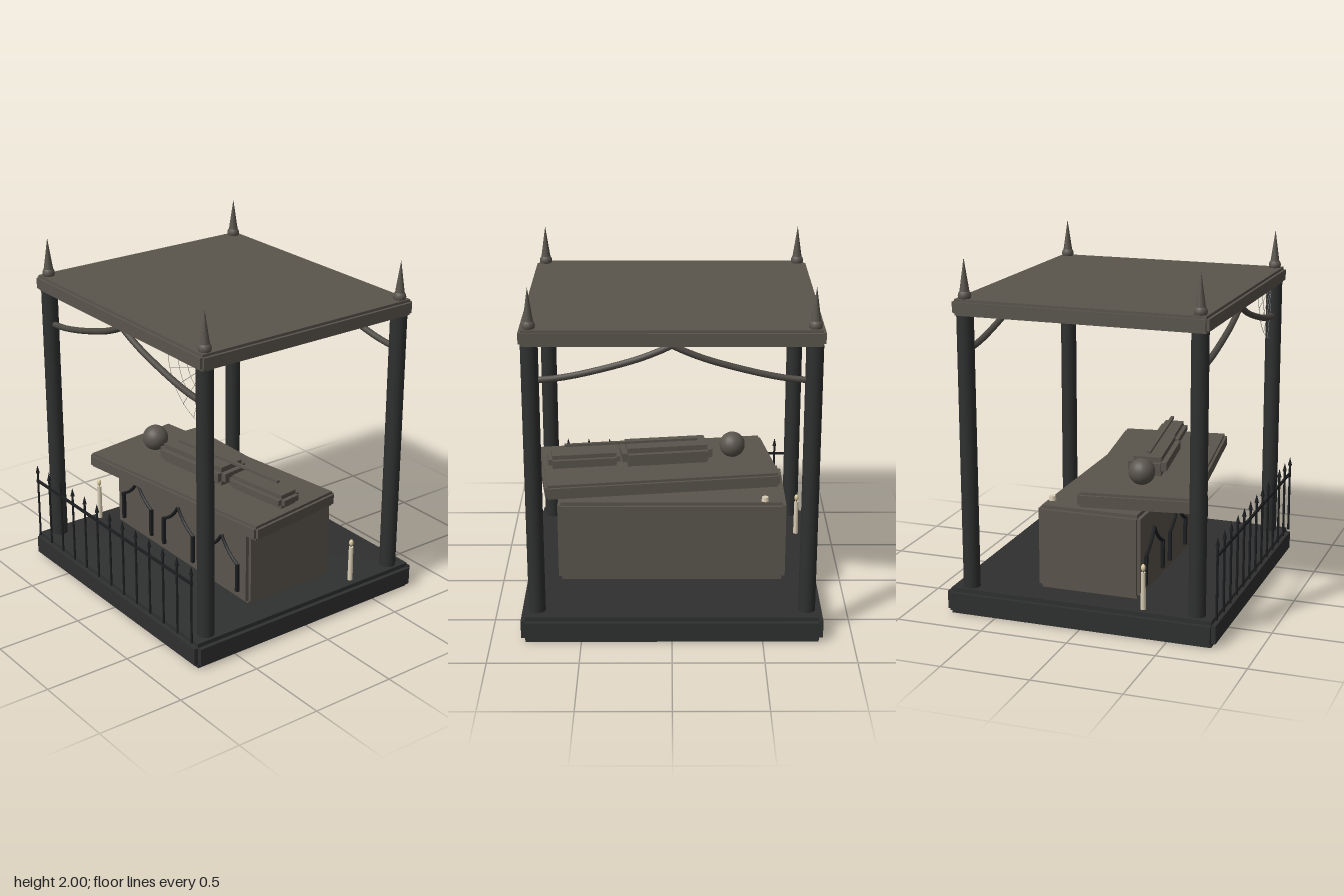
import * as THREE from 'three';
import { mergeGeometries } from 'three/addons/utils/BufferGeometryUtils.js';

const material = (name, color) => Object.assign(new THREE.MeshStandardMaterial({ color }), { name });

export function createModel() {
  const stone = material('weathered stone', 0x5a554d);
  const darkStone = material('dark stone', 0x2f3030);
  const iron = material('black iron', 0x1c1e20);
  const cloth = material('faded cloth', 0x4d4943);
  const wax = material('candle wax', 0xd9cdb4);
  const flameGlow = material('flame', 0xe0cfa0);
  const silk = material('web silk', 0x8a8a86);

  const model = new THREE.Group();
  model.name = 'canopyTomb';
  const group = (name, parent = model) => {
    const g = new THREE.Group();
    g.name = name;
    parent.add(g);
    return g;
  };
  const add = (parent, name, geometry, mat, x = 0, y = 0, z = 0) => {
    const m = new THREE.Mesh(geometry, mat);
    m.name = name;
    m.position.set(x, y, z);
    parent.add(m);
    return m;
  };

  // Block with stepped edges: three crossing boxes
  const steppedBox = (w, h, d, b) => mergeGeometries([
    new THREE.BoxGeometry(w, h - 2 * b, d - 2 * b),
    new THREE.BoxGeometry(w - 2 * b, h, d - 2 * b),
    new THREE.BoxGeometry(w - 2 * b, h - 2 * b, d),
  ]);
  const v = (x, y, z = 0) => new THREE.Vector3(x, y, z);

  // Plinth, canopy roof and tomb chest
  add(model, 'plinth', steppedBox(1.665, 0.15, 1.556, 0.024), darkStone, 0, 0.075);
  add(model, 'canopyRoof', steppedBox(1.6, 0.09, 1.43, 0.015), stone, 0, 1.735);
  add(model, 'tombChest', steppedBox(1.3, 0.48, 0.595, 0.02), stone, 0, 0.39);

  // Corner pillars with spired finials
  const pillarGeo = new THREE.CylinderGeometry(0.047, 0.047, 1.54, 16);
  const ballGeo = new THREE.SphereGeometry(0.036, 16, 10);
  const spireGeo = new THREE.ConeGeometry(0.028, 0.19, 12);
  for (const sx of [-1, 1]) {
    for (const sz of [-1, 1]) {
      const corner = group('pillarCorner');
      corner.position.set(sx * 0.746, 0, sz * 0.657);
      add(corner, 'pillar', pillarGeo, darkStone, 0, 0.92);
      add(corner, 'finialBall', ballGeo, stone, 0, 1.795);
      add(corner, 'finialSpire', spireGeo, stone, 0, 1.905);
    }
  }

  // Swags hung from the front and back of the canopy
  for (const sz of [-1, 1]) {
    for (const sx of [-1, 1]) {
      const path = new THREE.CatmullRomCurve3([
        v(sx * 0.72, 1.494), v(sx * 0.6, 1.506), v(sx * 0.46, 1.533),
        v(sx * 0.2, 1.603), v(sx * 0.08, 1.648), v(0, 1.685),
      ]);
      add(model, 'swag', new THREE.TubeGeometry(path, 24, 0.018, 8), cloth, 0, 0, sz * 0.657);
    }
  }

  // Skewed lid carrying the reclining effigy
  const lid = group('lidAndEffigy');
  lid.position.set(0.088, 0, 0.146);
  lid.rotation.y = 0.142;
  add(lid, 'lid', steppedBox(1.36, 0.085, 0.64, 0.015), stone, 0, 0.6775);
  add(lid, 'effigyHead', new THREE.SphereGeometry(0.075, 20, 14), stone, -0.45, 0.793);
  add(lid, 'effigyTorso', steppedBox(0.53, 0.11, 0.22, 0.03), stone, -0.055, 0.775);
  add(lid, 'effigyLegs', steppedBox(0.42, 0.08, 0.16, 0.024), stone, 0.43, 0.76);
  add(lid, 'effigySword', new THREE.BoxGeometry(0.78, 0.014, 0.02), stone, 0.15, 0.841);

  // Ogee arches on the front of the chest
  const ogee = [v(0.145, 0.21), v(0.145, 0.375)];
  const ogeeCurve = [v(0.145, 0.375), v(0.1, 0.4), v(0.055, 0.435), v(0.02, 0.475), v(0, 0.505)];
  for (const cx of [-0.42, 0, 0.42]) {
    const arch = group('archTracery');
    arch.position.set(cx, 0, 0.306);
    for (const s of [-1, 1]) {
      const flip = (p) => v(p.x * s, p.y);
      add(arch, 'archJamb', new THREE.BoxGeometry(0.02, 0.17, 0.02), iron, ogee[0].x * s, 0.295);
      const curve = new THREE.CatmullRomCurve3(ogeeCurve.map(flip));
      add(arch, 'archCurve', new THREE.TubeGeometry(curve, 14, 0.01, 6), iron);
    }
  }

  // Front railing with spear heads
  const fence = group('railing');
  fence.position.z = 0.774;
  const picketGeo = new THREE.CylinderGeometry(0.007, 0.007, 0.42, 6);
  const spearGeo = new THREE.ConeGeometry(0.013, 0.05, 6);
  for (let i = -6; i <= 6; i++) {
    add(fence, 'picket', picketGeo, iron, i * 0.1295, 0.36);
    add(fence, 'spearHead', spearGeo, iron, i * 0.1295, 0.588);
  }
  add(fence, 'rail', new THREE.BoxGeometry(1.57, 0.014, 0.012), iron, 0, 0.51);

  // Two lit candles and a burnt stub
  for (const s of [-1, 1]) {
    const candle = group('candle');
    candle.position.set(s * 0.76, 0, s * -0.358);
    add(candle, 'candleStick', new THREE.CylinderGeometry(0.013, 0.015, 0.21, 10), wax, 0, 0.255);
    add(candle, 'wick', new THREE.CylinderGeometry(0.003, 0.003, 0.02, 6), iron, 0, 0.367);
    const flame = add(candle, 'flame', new THREE.SphereGeometry(0.013, 10, 8), flameGlow, 0, 0.386);
    flame.scale.y = 1.6;
  }
  add(model, 'candleStub', new THREE.CylinderGeometry(0.018, 0.022, 0.025, 10), wax, -0.53, 0.642, -0.255);

  // Cobweb in the front canopy corner
  const web = group('cobweb');
  web.position.set(0.74, 1.69, 0.65);
  const spokes = 5;
  for (let i = 0; i <= spokes; i++) {
    const a = Math.PI + (i / spokes) * Math.PI / 2;
    const spoke = add(web, 'webSpoke', new THREE.CylinderGeometry(0.0015, 0.0015, 0.33, 4), silk,
      Math.cos(a) * 0.165, Math.sin(a) * 0.165);
    spoke.rotation.z = a - Math.PI / 2;
  }
  for (const r of [0.09, 0.155, 0.235, 0.325]) {
    const ring = add(web, 'webRing', new THREE.TorusGeometry(r, 0.0015, 4, 20, Math.PI / 2), silk);
    ring.rotation.z = Math.PI;
  }

  // Centre the whole depth, railing included
  model.children.forEach((c) => { c.position.z -= 0.007; });
  return model;
}
